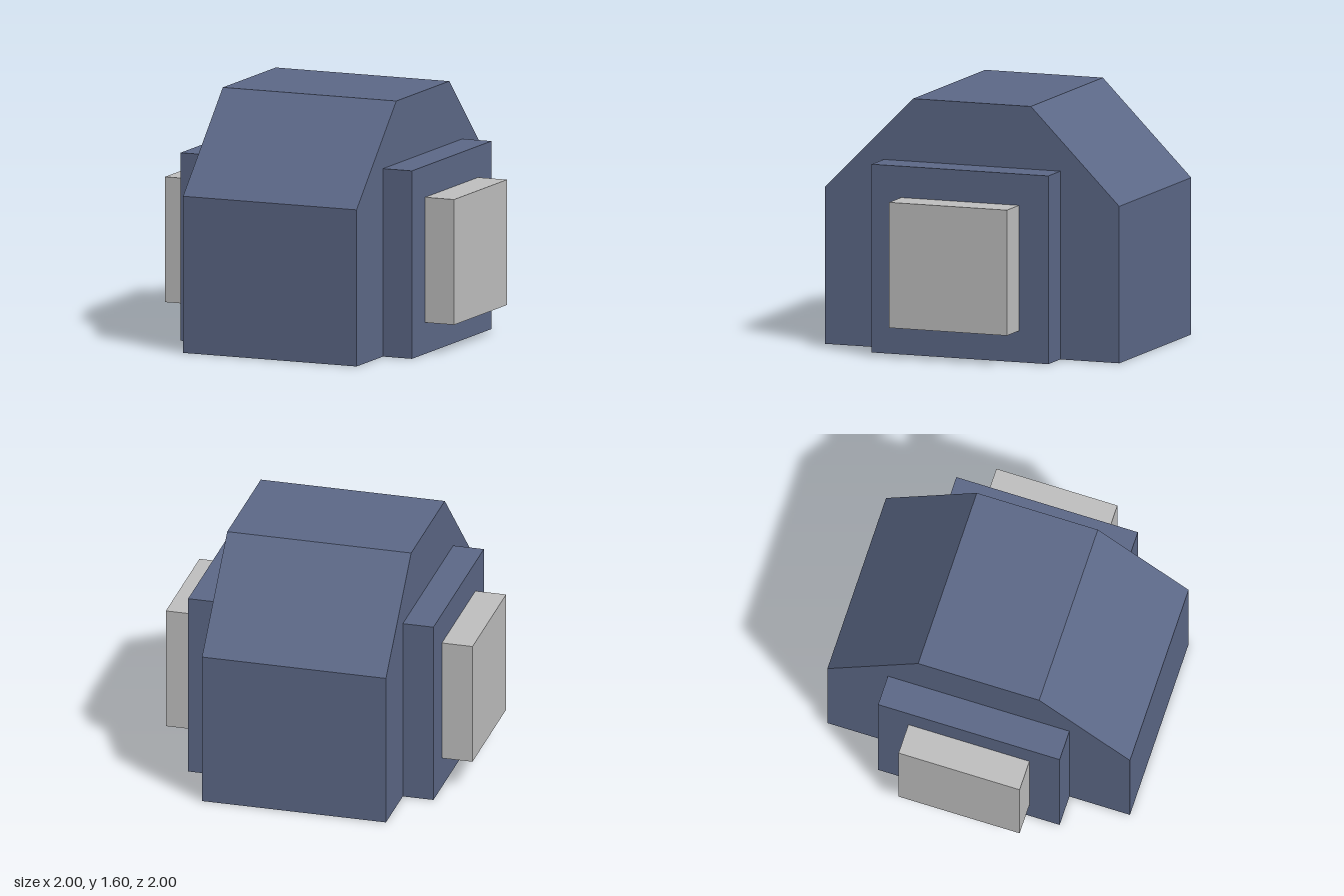
import * as THREE from 'three';

export function createModel() {
  const model = new THREE.Group();
  const blue = new THREE.MeshStandardMaterial({ color: 0x5c6887 });
  blue.name = 'slate blue';
  const grey = new THREE.MeshStandardMaterial({ color: 0xbfbfbf });
  grey.name = 'light grey';

  const add = (name, geometry, material, x = 0, y = 0, z = 0) => {
    const mesh = new THREE.Mesh(geometry, material);
    mesh.name = name;
    mesh.position.set(x, y, z);
    model.add(mesh);
  };

  // Body: side profile with sloped front and back, extruded across x
  const profile = new THREE.Shape(
    [[-1, 0], [1, 0], [1, 1], [0.4, 1.6], [-0.4, 1.6], [-1, 1]].map(([z, y]) => new THREE.Vector2(z, y))
  );
  const body = new THREE.ExtrudeGeometry(profile, { depth: 1.2, bevelEnabled: false });
  body.translate(0, 0, -0.6).rotateY(Math.PI / 2);
  add('body', body, blue);

  // Stepped side panels and square pads, mirrored
  for (const [side, s] of [['left', 1], ['right', -1]]) {
    add(side + 'SidePanel', new THREE.BoxGeometry(0.2, 1.2, 1.2), blue, s * 0.7, 0.6);
    add(side + 'Pad', new THREE.BoxGeometry(0.2, 0.8, 0.8), grey, s * 0.9, 0.6);
  }
  return model;
}
